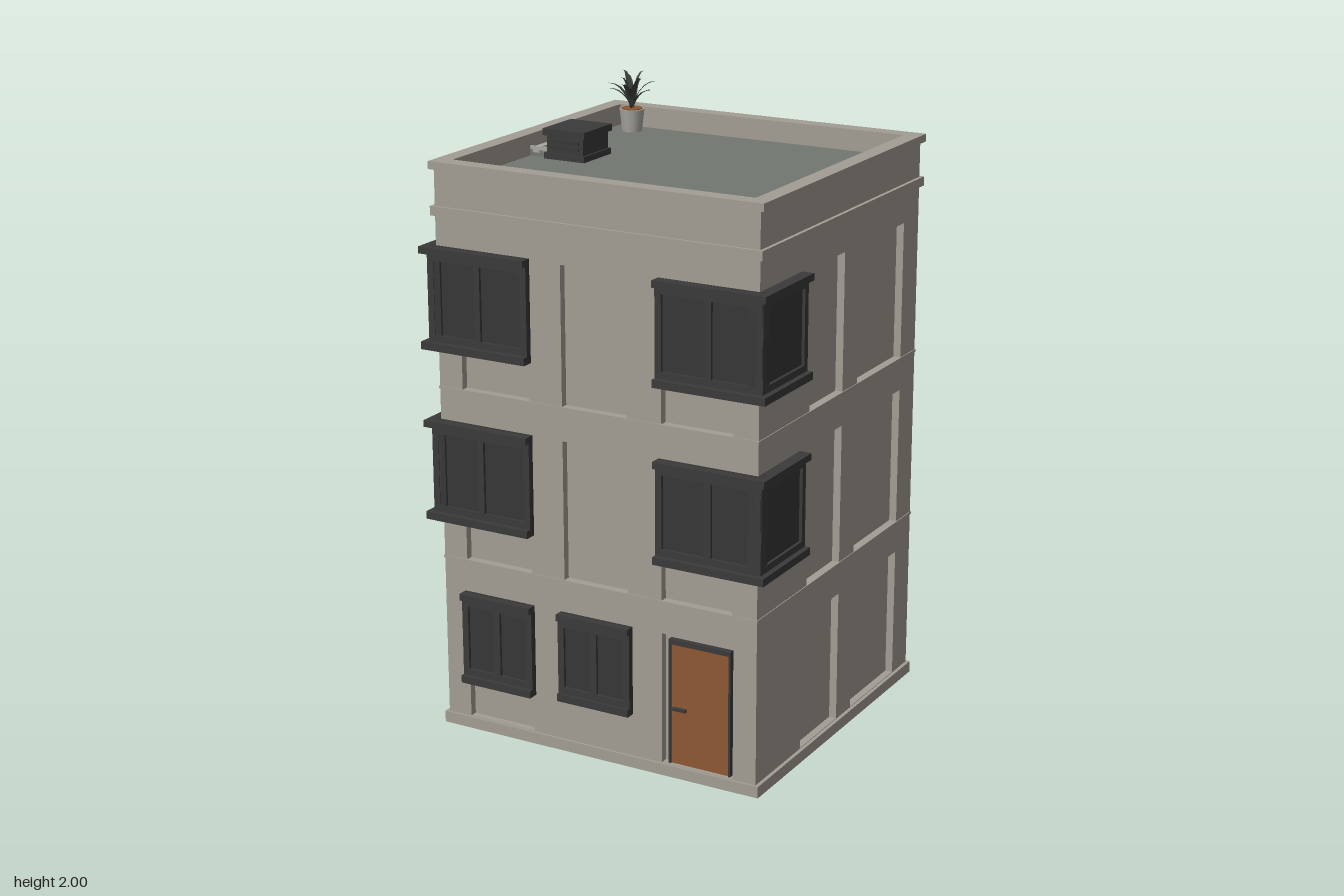
import * as THREE from 'three';

const mat = (name, color, side = THREE.FrontSide) => {
  const m = new THREE.MeshStandardMaterial({ color, side });
  m.name = name;
  return m;
};

const HX = 0.565, HZ = 0.55;      // half sizes of the walls
const DEPTH = 0.025;              // depth of the wall recesses
const ROOF = 1.8;

export function createModel() {
  const model = new THREE.Group();
  model.name = 'apartmentBuilding';
  const wall = mat('plaster', 0xa29d94);
  const roofing = mat('roofing', 0x737770);
  const frame = mat('darkFrame', 0x3a3a3a);
  const glass = mat('darkGlass', 0x363637);
  const wood = mat('doorWood', 0x8c5833);
  const leaf = mat('leaf', 0x3f443e, THREE.DoubleSide);
  const metal = mat('paleMetal', 0xa8a7a0);

  // box given by its limits
  const box = (parent, name, m, x0, x1, y0, y1, z0, z1) => {
    const mesh = new THREE.Mesh(new THREE.BoxGeometry(x1 - x0, y1 - y0, z1 - z0), m);
    mesh.position.set((x0 + x1) / 2, (y0 + y1) / 2, (z0 + z1) / 2);
    mesh.name = name;
    parent.add(mesh);
    return mesh;
  };
  const rect = (P, x0, x1, y0, y1) => {
    const p = new P();
    p.moveTo(x0, y0); p.lineTo(x1, y0); p.lineTo(x1, y1); p.lineTo(x0, y1);
    p.closePath();
    return p;
  };

  // wall sheet with sunken panels; local +z points out and z = 0 is the wall surface
  const facade = (name, half, dist, angle, panels) => {
    const g = new THREE.Group();
    g.name = name;
    const shape = rect(THREE.Shape, -half, half, 0.03, 1.71);
    for (const p of panels) shape.holes.push(rect(THREE.Path, ...p));
    const sheet = new THREE.Mesh(
      new THREE.ExtrudeGeometry(shape, { depth: DEPTH, bevelEnabled: false }), wall);
    sheet.position.z = -DEPTH;
    sheet.name = 'panelledWall';
    g.add(sheet);
    g.rotation.y = angle;
    g.position.set(Math.sin(angle) * dist, 0, Math.cos(angle) * dist);
    model.add(g);
    return g;
  };

  // framed window with projecting head and sill
  const addWindow = (parent, x0, x1, y0, y1, panes, out = 0.04, ext0 = 0, ext1 = 0) => {
    const g = new THREE.Group();
    g.name = 'window';
    parent.add(g);
    const b = 0.022, a = x0 - ext0 / 2, c = x1 + ext1 / 2;
    box(g, 'glass', glass, a, c, y0, y1, -DEPTH, 0.012);
    box(g, 'sill', frame, x0 - ext0, x1 + ext1, y0, y0 + 0.025, -DEPTH, out);
    box(g, 'head', frame, x0 - ext0, x1 + ext1, y1 - 0.022, y1, -DEPTH, out);
    for (const y of [y0 + 0.025, y1 - 0.022 - b])
      box(g, 'rail', frame, a, c, y, y + b, 0, 0.022);
    for (let i = 0; i <= panes; i++) {
      const x = a + (c - a - b) * i / panes;
      box(g, 'stile', frame, x, x + b, y0 + 0.01, y1 - 0.01, -DEPTH, 0.022);
    }
  };

  const addDoor = (parent) => {
    const g = new THREE.Group();
    g.name = 'door';
    parent.add(g);
    box(g, 'doorLeaf', wood, 0.262, 0.465, 0.04, 0.442, -DEPTH, -0.012);
    box(g, 'doorHead', frame, 0.255, 0.472, 0.442, 0.458, -DEPTH, -0.006);
    for (const x of [0.255, 0.465])
      box(g, 'doorJamb', frame, x, x + 0.007, 0.04, 0.45, -DEPTH, -0.006);
    box(g, 'handle', frame, 0.27, 0.315, 0.222, 0.232, -0.012, -0.002);
  };

  // core, plinth and floor seams
  box(model, 'core', wall, -HX + DEPTH, HX - DEPTH, 0.02, 1.72, -HZ + DEPTH, HZ - DEPTH);
  box(model, 'plinth', wall, -0.577, 0.577, 0, 0.038, -0.558, 0.558);
  for (const y of [0.575, 1.143]) {
    for (const s of [-1, 1]) {
      box(model, 'floorSeam', wall, -HX - 0.003, HX + 0.003, y, y + 0.008, s * HZ - 0.003, s * HZ + 0.003);
      box(model, 'floorSeam', wall, s * HX - 0.003, s * HX + 0.003, y, y + 0.008, -HZ, HZ);
    }
  }

  // parapet rings and roof
  const ring = (name, hx, hz, y0, y1) => {
    const s = rect(THREE.Shape, -hx, hx, -hz, hz);
    s.holes.push(rect(THREE.Path, -0.525, 0.525, -0.505, 0.505));
    const m = new THREE.Mesh(
      new THREE.ExtrudeGeometry(s, { depth: y1 - y0, bevelEnabled: false }), wall);
    m.rotation.x = -Math.PI / 2;
    m.position.y = y0;
    m.name = name;
    model.add(m);
  };
  ring('lowerCornice', 0.577, 0.56, 1.7, 1.73);
  ring('parapet', HX, HZ, 1.73, 1.845);
  ring('parapetCap', 0.58, 0.56, 1.845, 1.87);
  box(model, 'roof', roofing, -0.526, 0.526, 1.7, ROOF, -0.506, 0.506);

  // front and back share the same grid of panels
  const floors = [[0.583, 1.04], [1.151, 1.6]];
  const grid = [[-0.48, -0.235, 0.04, 0.475], [0.235, 0.485, 0.04, 0.475]];
  for (const f of floors)
    for (const [a, b] of [[-0.48, -0.235], [-0.115, 0.115], [0.235, 0.48]]) grid.push([a, b, ...f]);
  const front = facade('frontWall', HX, HZ, 0, grid);
  const back = facade('backWall', HX, HZ, Math.PI, grid);

  // side walls, mirrored
  const sidePanels = [[-0.25, 0.01, 0.04, 0.475], [0.115, 0.44, 0.04, 0.475]];
  for (const f of floors) sidePanels.push([-0.22, 0.01, ...f], [0.115, 0.44, ...f]);
  const sides = [1, -1].map((s) => facade(s > 0 ? 'leftWall' : 'rightWall', HZ - DEPTH, HX, s * Math.PI / 2,
    sidePanels.map(([a, b, c, d]) => s > 0 ? [a, b, c, d] : [-b, -a, c, d])));

  // upper windows: wrapped round the front corners, plain at the back
  for (const [y0, y1] of [[0.712, 1.042], [1.275, 1.605]]) {
    addWindow(front, 0.225, HX, y0, y1, 2, 0.04, 0, 0.04);
    addWindow(front, -HX, -0.225, y0, y1, 2, 0.04, 0.04, 0);
    addWindow(sides[0], -HZ, -0.28, y0, y1, 1, 0.04, 0.04, 0);
    addWindow(sides[1], 0.28, HZ, y0, y1, 1, 0.04, 0, 0.04);
    for (const x of [-0.34, 0.34]) addWindow(back, x - 0.14, x + 0.14, y0, y1, 2);
  }
  // ground floor windows and doors
  addWindow(front, -0.49, -0.228, 0.168, 0.475, 2, 0.036);
  for (const w of [front, back]) {
    addWindow(w, -0.13, 0.13, 0.18, 0.475, 2, 0.032);
    addDoor(w);
  }

  // rooftop cooling unit with a pale duct to the parapet
  const unit = new THREE.Group();
  unit.name = 'coolingUnit';
  model.add(unit);
  box(unit, 'unitBody', frame, -0.455, -0.32, 1.815, 1.88, -0.078, 0.075);
  box(unit, 'unitLid', frame, -0.465, -0.31, 1.876, 1.898, -0.088, 0.085);
  box(unit, 'unitBase', frame, -0.462, -0.313, ROOF, 1.82, -0.085, 0.082);
  for (const y of [1.833, 1.853]) box(unit, 'unitGrille', glass, -0.44, -0.335, y, y + 0.01, 0.075, 0.08);
  for (const z of [-0.07, 0.055]) box(unit, 'ductRail', metal, -0.525, -0.45, 1.82, 1.832, z, z + 0.01);
  box(unit, 'duct', metal, -0.515, -0.49, 1.812, 1.83, -0.07, 0.065);
  box(unit, 'ductTray', roofing, -0.525, -0.455, ROOF, 1.815, -0.07, 0.065);

  // potted plant
  const plant = new THREE.Group();
  plant.name = 'pottedPlant';
  plant.position.set(-0.44, ROOF, -0.435);
  model.add(plant);
  const pot = new THREE.Mesh(new THREE.CylinderGeometry(0.043, 0.034, 0.075, 10), metal);
  pot.position.y = 0.0375;
  pot.name = 'pot';
  plant.add(pot);
  const soil = new THREE.Mesh(new THREE.CylinderGeometry(0.036, 0.036, 0.004, 10), wood);
  soil.position.y = 0.076;
  soil.name = 'soil';
  plant.add(soil);

  // folded blade built from cross-sections along an arching path
  const blade = (reach, rise, width) => {
    const pos = [], idx = [], n = 5;
    for (let i = 0; i <= n; i++) {
      const t = i / n, w = width * Math.sin(Math.PI * (0.2 + 0.8 * t));
      const x = reach * t * (0.5 + 0.5 * t), y = rise * Math.sin(t * Math.PI * 0.5);
      pos.push(x, y + w * 0.3, -w, x, y, 0, x, y + w * 0.3, w);
      if (i < n) for (const k of [0, 1]) {
        const a = i * 3 + k;
        idx.push(a, a + 1, a + 3, a + 1, a + 4, a + 3);
      }
    }
    const g = new THREE.BufferGeometry();
    g.setAttribute('position', new THREE.Float32BufferAttribute(pos, 3));
    g.setIndex(idx);
    g.computeVertexNormals();
    return g;
  };
  for (let i = 0; i < 14; i++) {
    const inner = i % 2;
    const m = new THREE.Mesh(
      blade(inner ? 0.045 : 0.085, inner ? 0.125 - (i % 3) * 0.015 : 0.07 + (i % 3) * 0.012, 0.011), leaf);
    m.position.y = 0.075;
    m.rotation.y = i * 2.4;
    m.name = 'leaf';
    plant.add(m);
  }
  return model;
}
